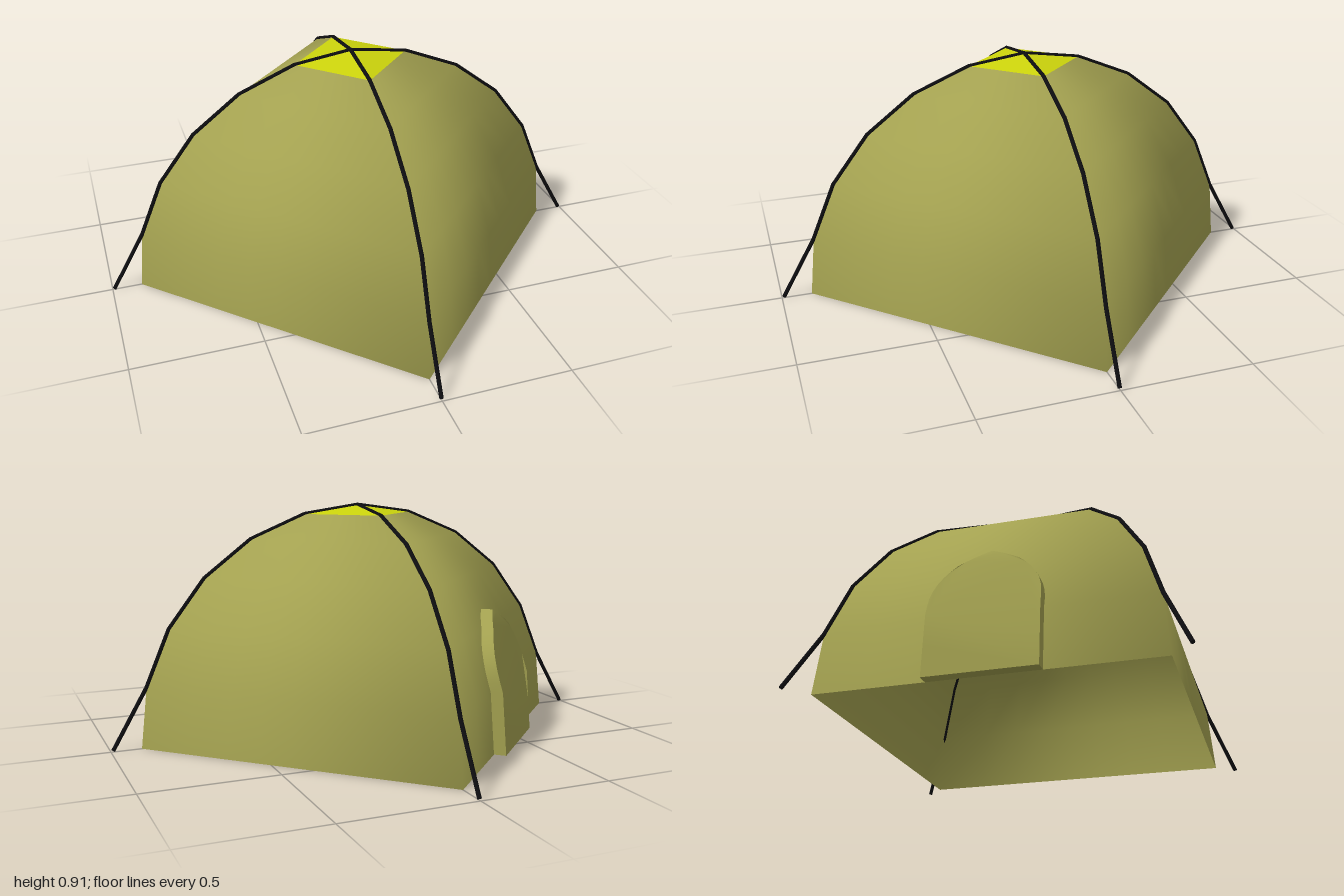
import * as THREE from 'three';
import { mergeGeometries, toCreasedNormals } from 'three/addons/utils/BufferGeometryUtils.js';

// Corner profile of the dome: [distance from the axis, height]
const PROFILE = [[0.885, 0], [0.86, 0.235], [0.77, 0.45], [0.63, 0.635], [0.445, 0.777], [0.225, 0.868]];
const APEX = [0, 0.9];

const fabric = new THREE.MeshStandardMaterial({ color: 0xa3a150, side: THREE.DoubleSide });
const yellow = new THREE.MeshStandardMaterial({ color: 0xccd40c, side: THREE.DoubleSide });
const black = new THREE.MeshStandardMaterial({ color: 0x0d0d10 });

function addMesh(parent, name, geometry, material) {
  const mesh = new THREE.Mesh(geometry, material);
  mesh.name = name;
  parent.add(mesh);
  return mesh;
}

// Distance of the flat wall's middle from the axis at height y
function wallDistance(y) {
  let i = 1;
  while (i < PROFILE.length - 1 && PROFILE[i][1] < y) i++;
  const [r0, y0] = PROFILE[i - 1], [r1, y1] = PROFILE[i];
  return THREE.MathUtils.lerp(r0, r1, (y - y0) / (y1 - y0)) * Math.SQRT1_2;
}

// Lathe squared off so its corners lie on the x and z axes; it keeps the round, smooth normals
function squareLathe(points, segments) {
  const geo = new THREE.LatheGeometry(points.map(([r, y]) => new THREE.Vector2(r, y)), segments);
  const pos = geo.attributes.position;
  for (let i = 0; i < pos.count; i++) {
    const x = pos.getX(i), z = pos.getZ(i);
    const sum = Math.abs(x) + Math.abs(z);
    if (sum < 1e-6) continue;
    const k = Math.hypot(x, z) / sum;
    pos.setXYZ(i, x * k, pos.getY(i), z * k);
  }
  return geo;
}

// One straight pole section between two points
function rod(a, b, radius) {
  const dir = b.clone().sub(a);
  const geo = new THREE.CylinderGeometry(radius, radius, dir.length() + radius * 0.4, 8);
  geo.applyQuaternion(new THREE.Quaternion().setFromUnitVectors(new THREE.Vector3(0, 1, 0), dir.normalize()));
  return geo.translate((a.x + b.x) / 2, (a.y + b.y) / 2, (a.z + b.z) / 2);
}

// Pole arch across the dome, with straight legs splayed out to the ground
function poleArch() {
  const half = [[0.991, 0.006], ...PROFILE.slice(1)];
  const path = [...half, APEX, ...half.map(([r, y]) => [-r, y]).reverse()]
    .map(([x, y]) => new THREE.Vector3(x, y, 0));
  return mergeGeometries(path.slice(1).map((p, i) => rod(path[i], p, 0.008)));
}

// Arched door hood that follows the slope of the wall
function doorHood() {
  const w = 0.205, spring = 0.27, top = 0.51, depth = 0.046;
  const shape = new THREE.Shape();
  shape.moveTo(-w, 0);
  shape.lineTo(w, 0);
  shape.lineTo(w, 0.12);
  shape.lineTo(w, 0.235);
  shape.lineTo(w, spring);
  shape.bezierCurveTo(w, 0.40, 0.10, 0.47, 0, top);
  shape.bezierCurveTo(-0.10, 0.47, -w, 0.40, -w, spring);
  shape.lineTo(-w, 0.235);
  shape.lineTo(-w, 0.12);
  const geo = new THREE.ExtrudeGeometry(shape, { depth, bevelEnabled: false, curveSegments: 10 });
  const pos = geo.attributes.position;
  for (let i = 0; i < pos.count; i++) pos.setZ(i, pos.getZ(i) + wallDistance(pos.getY(i)));
  return toCreasedNormals(geo, 0.6);
}

export function createModel() {
  const tent = new THREE.Group();
  tent.name = 'tent';

  // Fabric walls, open underneath
  addMesh(tent, 'walls', squareLathe(PROFILE, 32), fabric);

  // Shallow pyramid cap on the roof
  const cap = squareLathe([PROFILE[PROFILE.length - 1], APEX], 4).toNonIndexed();
  cap.computeVertexNormals();
  addMesh(tent, 'roofCap', cap, yellow);

  // Door on the back wall facing -x, -z
  const door = addMesh(tent, 'door', doorHood(), fabric);
  door.rotation.y = -Math.PI * 3 / 4;

  // Two crossing pole arches
  ['poleAcross', 'poleFrontToBack'].forEach((name, i) => {
    addMesh(tent, name, poleArch(), black).rotation.y = i * Math.PI / 2;
  });

  return tent;
}
